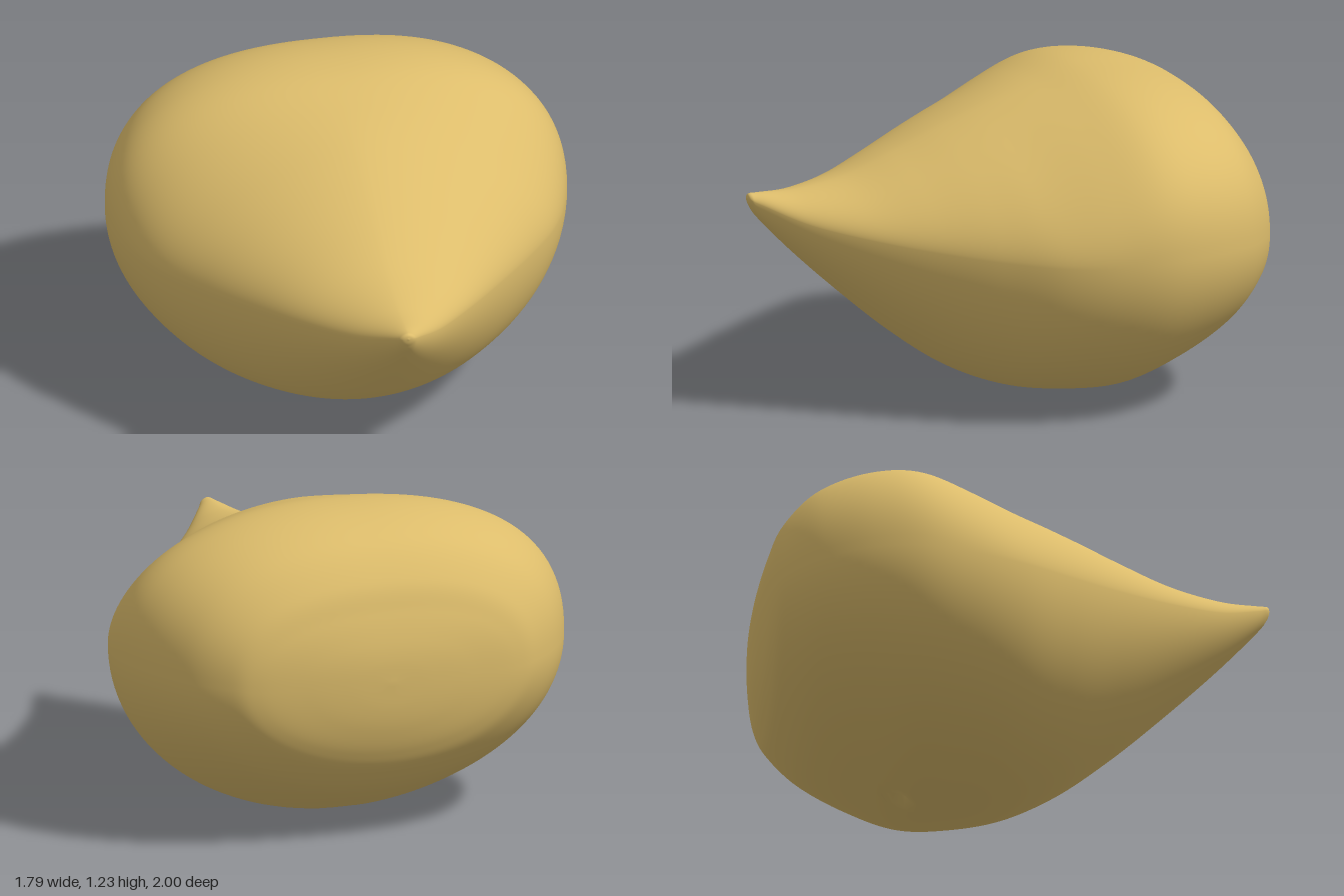
import * as THREE from 'three';
import { mergeVertices } from 'three/addons/utils/BufferGeometryUtils.js';

// Cross-sections from the pointed tip to the blunt back: z, top y, bottom y, half width, y of widest point
const SECTIONS = [
  [1.0, 0.865, 0.865, 0, 0.865],
  [0.99, 0.882, 0.832, 0.027, 0.86],
  [0.95, 0.882, 0.775, 0.055, 0.84],
  [0.8, 0.88, 0.62, 0.17, 0.775],
  [0.6, 0.912, 0.435, 0.325, 0.73],
  [0.4, 0.985, 0.265, 0.48, 0.7],
  [0.2, 1.065, 0.125, 0.635, 0.68],
  [0.0, 1.135, 0.04, 0.775, 0.67],
  [-0.2, 1.19, 0.008, 0.86, 0.67],
  [-0.4, 1.232, 0.008, 0.893, 0.68],
  [-0.6, 1.22, 0.08, 0.855, 0.68],
  [-0.78, 1.153, 0.175, 0.76, 0.67],
  [-0.9, 1.03, 0.28, 0.635, 0.66],
  [-0.95, 0.915, 0.36, 0.525, 0.65],
  [-0.98, 0.82, 0.45, 0.34, 0.65],
  [-0.995, 0.74, 0.54, 0.17, 0.65],
  [-1.0, 0.65, 0.65, 0, 0.65],
];
const RINGS = 144;
const SIDES = 128;
const DIMPLE = { z: -0.43, radius: 0.06, depth: 0.05 };

// Superellipse helper: larger n gives a squarer shoulder
const bulge = (v, n) => Math.sign(v) * Math.pow(Math.abs(v), 2 / n);

function buildBody() {
  const heights = new THREE.CatmullRomCurve3(
    SECTIONS.map(([z, top, bottom]) => new THREE.Vector3(z, top, bottom)), false, 'catmullrom', 0.5);
  const widths = new THREE.CatmullRomCurve3(
    SECTIONS.map(([z, , , w, mid]) => new THREE.Vector3(z, w, mid)), false, 'catmullrom', 0.5);
  const positions = [];
  const index = [];

  for (let i = 0; i <= RINGS; i++) {
    const { x: z, y: top, z: bottom } = heights.getPoint(i / RINGS);
    const { y: halfWidth, z: mid } = widths.getPoint(i / RINGS);
    // Roof-like shoulders in front, squarer ones toward the back
    const shoulder = THREE.MathUtils.lerp(2.4, 1.75, THREE.MathUtils.smoothstep(z, -0.5, 0.05));
    for (let j = 0; j < SIDES; j++) {
      const angle = (j / SIDES) * Math.PI * 2;
      const s = Math.sin(angle);
      const n = s > 0 ? shoulder : 2;
      const x = halfWidth * bulge(Math.cos(angle), n);
      let y = mid + (s > 0 ? top - mid : mid - bottom) * bulge(s, n);
      // Small dimple in the underside
      const d = Math.hypot(x, z - DIMPLE.z) / DIMPLE.radius;
      if (s < 0 && d < 1) y += DIMPLE.depth * (1 - d * d) ** 2;
      positions.push(x, y, z);

      if (i < RINGS) {
        const a = i * SIDES + j;
        const b = i * SIDES + ((j + 1) % SIDES);
        const c = a + SIDES;
        const e = b + SIDES;
        // The first and last rings are single points, so they need one triangle per side
        if (i > 0) index.push(a, c, b);
        if (i < RINGS - 1) index.push(b, c, e);
      }
    }
  }

  const geometry = new THREE.BufferGeometry();
  geometry.setAttribute('position', new THREE.Float32BufferAttribute(positions, 3));
  geometry.setIndex(index);
  // Weld the two poles so the shading stays smooth
  const welded = mergeVertices(geometry, 1e-5);
  welded.computeVertexNormals();
  return welded;
}

export function createModel() {
  const tan = new THREE.MeshStandardMaterial({ color: 0xdcbc6b });
  tan.name = 'tan';

  const body = new THREE.Mesh(buildBody(), tan);
  body.name = 'body';

  const model = new THREE.Group();
  model.name = 'pointedSeed';
  model.add(body);
  return model;
}
